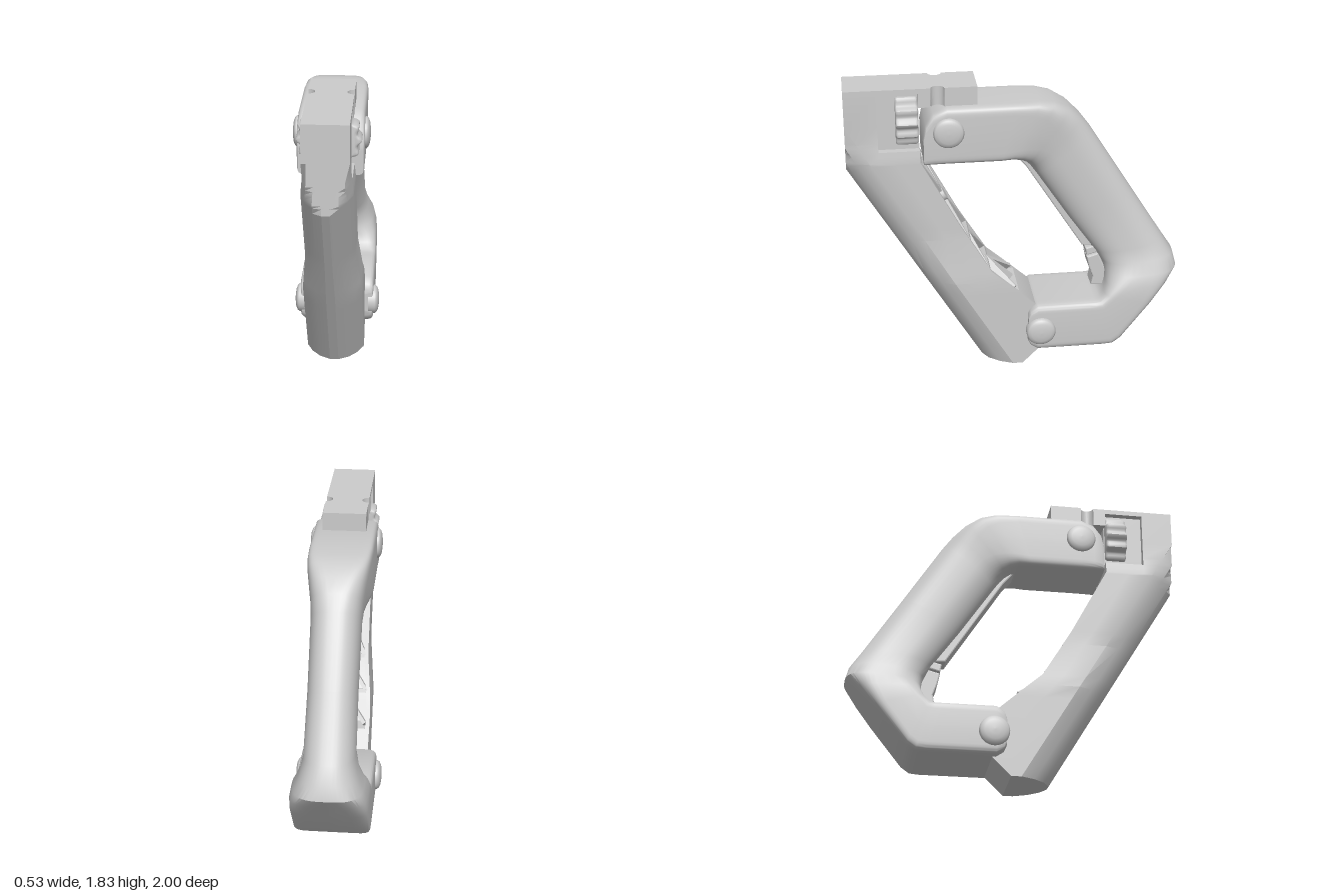
import * as THREE from 'three';
import { toCreasedNormals } from 'three/addons/utils/BufferGeometryUtils.js';

const grey = new THREE.MeshStandardMaterial({ color: 0xcccccc });

function add(parent, name, geometry) {
  const mesh = new THREE.Mesh(geometry, grey);
  mesh.name = name;
  parent.add(mesh);
  return mesh;
}

// Closed skin over rings of [x, y, z], with fan caps at both ends
function loft(rings, crease) {
  const n = rings[0].length, pos = rings.flat(2), idx = [];
  for (let r = 0; r < rings.length - 1; r++) {
    for (let i = 0; i < n; i++) {
      const a = r * n + i, b = r * n + (i + 1) % n;
      idx.push(a, b, b + n, a, b + n, a + n);
    }
  }
  [0, rings.length - 1].forEach((r, end) => {
    const c = pos.length / 3;
    for (let k = 0; k < 3; k++) pos.push(rings[r].reduce((s, p) => s + p[k], 0) / n);
    for (let i = 0; i < n; i++) {
      const a = r * n + i, b = r * n + (i + 1) % n;
      if (end) idx.push(c, a, b); else idx.push(c, b, a);
    }
  });
  // turn the faces outwards if the signed volume is negative
  const v = i => new THREE.Vector3().fromArray(pos, i * 3);
  let volume = 0;
  for (let i = 0; i < idx.length; i += 3) volume += v(idx[i]).dot(v(idx[i + 1]).cross(v(idx[i + 2])));
  if (volume < 0) idx.reverse();
  const g = new THREE.BufferGeometry();
  g.setAttribute('position', new THREE.Float32BufferAttribute(pos, 3));
  g.setIndex(idx);
  return toCreasedNormals(g, crease);
}

// Side outline of [z, y] points extruded across x
function sidePlate(points, half, bevel = 0.008) {
  const shape = new THREE.Shape(points.map(p => new THREE.Vector2(...p)));
  const g = new THREE.ExtrudeGeometry(shape, {
    depth: 2 * half, bevelEnabled: true, bevelSize: bevel, bevelThickness: bevel, bevelOffset: -bevel, bevelSegments: 2,
  });
  return g.translate(0, 0, -half).rotateY(-Math.PI / 2);
}

// Linear lookup in [key, value] pairs
function lookup(table, k) {
  for (let i = 1; i < table.length; i++) {
    const [a, va] = table[i - 1], [b, vb] = table[i];
    if (k <= b) return va + (vb - va) * (k - a) / (b - a);
  }
  return table[table.length - 1][1];
}

const beamBack = y => lookup([[0, -0.03], [0.11, -0.14], [0.36, -0.14], [0.4, -0.12], [0.65, 0.16], [0.95, 0.34], [1.38, 0.57], [2, 0.57]], y);
const beamHalf = y => lookup([[0, 0.176], [0.58, 0.176], [0.87, 0.146], [1.38, 0.144], [1.5, 0.13], [2, 0.13]], y);

// Horizontal slice: prow cut off at z = 1, side pocket for the wheel, hollow back
function beamSlice(y, pocket, hollow) {
  const w = beamHalf(y), front = 0.21 + y * 0.603, back = beamBack(y);
  const prow = [[0.15, 0], [0.5, 0.035], [0.8, 0.1], [1, 0.18]].map(([k, d]) => [k * w, Math.min(front - d, 1)]);
  const mid = y >= 1.38 ? 0.81 : (prow[3][1] + back) / 2;
  const inset = pocket ? 0.09 : w;
  const wall = pocket ? 0.07 : w - 0.025;
  const half = [...prow, [w, mid], [inset, mid], [inset, back], [wall, back], [wall, back + (hollow ? 0.1 : 0)]];
  const other = half.map(([x, z]) => [-x, z]).reverse();
  return [...half, ...other].map(([x, z]) => [x, y, z]);
}

function buildBeam(group) {
  const plan = [
    [0], [0.11], [0.36], [0.4], [0.5], [0.5, 0, 1], [0.58, 0, 1], [0.65, 0, 1], [0.87, 0, 1], [0.95, 0, 1],
    [1.31, 0, 1], [1.35, 0, 1], [1.35], [1.368], [1.38], [1.42], [1.45], [1.45, 1], [1.476, 1], [1.5, 1],
    [1.609, 1], [1.8, 1], [1.8], [1.83],
  ];
  add(group, 'beam', loft(plan.map(s => beamSlice(...s)), 0.45));

  // lattice in the hollow back, as pairs of [x fraction, y]
  const ribs = new THREE.Group();
  ribs.name = 'latticeRibs';
  group.add(ribs);
  const at = ([k, y]) => new THREE.Vector3(k * (beamHalf(y) - 0.025), y, beamBack(y) + 0.05);
  const bars = [[[-1, 0.65], [1, 0.65]], [[-1, 0.84], [1, 0.84]], [[0, 0.5], [0, 0.65]]];
  for (const s of [-1, 1]) {
    bars.push([[0, 1.09], [s, 1.34]], [[0, 1.09], [s, 0.84]], [[0, 0.84], [s, 0.65]], [[0, 0.65], [s, 0.5]]);
  }
  bars.push([[0, 1.09], [0, 1.34]]);
  for (const [a, b] of bars) {
    const p = at(a), q = at(b);
    const rib = add(ribs, 'rib', new THREE.BoxGeometry(0.022, 0.09, p.distanceTo(q)));
    rib.position.copy(p).lerp(q, 0.5);
    rib.up.set(0, 0.45, -0.9);
    rib.lookAt(q);
  }
  const hub = add(ribs, 'hub', new THREE.CylinderGeometry(0.04, 0.04, 0.1, 20));
  hub.position.copy(at([0, 1.09]));
  hub.rotation.x = -1.08;

  // top rail with a half-round notch in each side
  const s = new THREE.Shape();
  s.moveTo(-0.13, -0.575);
  s.lineTo(0.13, -0.575);
  s.absarc(0.13, -0.46, 0.04, -Math.PI / 2, Math.PI / 2, true);
  s.lineTo(0.13, -0.23);
  s.lineTo(-0.13, -0.23);
  s.absarc(-0.13, -0.46, 0.04, Math.PI / 2, -Math.PI / 2, true);
  const rail = new THREE.ExtrudeGeometry(s, { depth: 0.115, bevelEnabled: false, curveSegments: 16 });
  add(group, 'topRail', rail.rotateX(-Math.PI / 2).translate(0, 1.715, 0));

  // scalloped adjusting wheel
  const rim = [];
  for (let i = 0; i < 96; i++) {
    const a = i / 96 * Math.PI * 2, r = 0.171 + 0.011 * Math.cos(14 * a);
    rim.push(new THREE.Vector2(r * Math.cos(a), r * Math.sin(a)));
  }
  const wheel = new THREE.ExtrudeGeometry(new THREE.Shape(rim), {
    depth: 0.1, bevelEnabled: true, bevelSize: 0.015, bevelThickness: 0.015, bevelOffset: -0.015, bevelSegments: 3,
  });
  add(group, 'adjustingWheel', toCreasedNormals(wheel, 0.7).translate(0, 1.63, 0.59));
}

function buildHandle(group) {
  // outer [z, y], inner [z, y], half width, squareness of the section
  const sections = [
    [0.55, 1.55, 0.55, 1.37, 0.185, 10], [0.535, 1.62, 0.535, 1.37, 0.19, 10], [0.49, 1.685, 0.49, 1.37, 0.19, 10],
    [0.41, 1.72, 0.41, 1.37, 0.19, 10], [0, 1.72, 0.1, 1.37, 0.19, 10], [-0.13, 1.72, 0.03, 1.37, 0.186, 8],
    [-0.22, 1.705, -0.02, 1.355, 0.178, 6], [-0.31, 1.66, -0.06, 1.325, 0.165, 4], [-0.385, 1.59, -0.085, 1.29, 0.153, 3],
    [-0.45, 1.505, -0.115, 1.24, 0.147, 2.6], [-0.69, 1.125, -0.32, 0.93, 0.145, 2.5],
    [-0.915, 0.77, -0.485, 0.7, 0.15, 2.5], [-0.98, 0.67, -0.535, 0.63, 0.17, 2.6], [-1, 0.59, -0.55, 0.56, 0.205, 3],
    [-0.93, 0.505, -0.55, 0.51, 0.225, 4.5], [-0.83, 0.385, -0.535, 0.46, 0.23, 7], [-0.64, 0.15, -0.505, 0.425, 0.23, 9],
    [-0.59, 0.115, -0.47, 0.42, 0.23, 10], [-0.53, 0.11, -0.43, 0.42, 0.23, 10], [-0.12, 0.11, -0.12, 0.42, 0.23, 10],
    [-0.075, 0.14, -0.075, 0.385, 0.228, 10], [-0.06, 0.17, -0.06, 0.35, 0.222, 10],
  ];
  const power = (v, n) => Math.sign(v) * Math.abs(v) ** (2 / n);
  const rings = sections.map(([oz, oy, iz, iy, w, n]) => Array.from({ length: 48 }, (_, i) => {
    const a = i / 48 * Math.PI * 2, k = (1 + power(Math.cos(a), n)) / 2;
    return [w * power(Math.sin(a), n), iy + (oy - iy) * k, iz + (oz - iz) * k];
  }));
  add(group, 'handle', loft(rings, 0.75));

  // long trigger bar on the inside of the grip, with its latch
  add(group, 'triggerBar', sidePlate([[0.1, 1.385], [0.01, 1.37], [-0.06, 1.29], [-0.41, 0.74], [-0.5, 0.735], [-0.53, 0.8], [-0.2, 1.3], [0, 1.44]], 0.055));
  add(group, 'latchBlock', sidePlate([[-0.43, 0.72], [-0.51, 0.74], [-0.515, 0.69], [-0.44, 0.67]], 0.06));
  add(group, 'latchLever', sidePlate([[-0.44, 0.66], [-0.51, 0.68], [-0.56, 0.57], [-0.55, 0.46], [-0.47, 0.465], [-0.48, 0.52], [-0.455, 0.59]], 0.06));
}

// Domed pin heads on both sides
function buildPins(group, name, x, y, z, height) {
  const profile = [[0.09, -0.03], [0.09, height * 0.3], [0.08, height * 0.62], [0.06, height * 0.85], [0.03, height * 0.97], [0, height]];
  for (const side of [1, -1]) {
    const pin = add(group, name, new THREE.LatheGeometry(profile.map(p => new THREE.Vector2(...p)), 32));
    pin.rotation.z = -side * Math.PI / 2;
    pin.position.set(side * x, y, z);
  }
}

export function createModel() {
  const group = new THREE.Group();
  group.name = 'handleAssembly';
  buildBeam(group);
  buildHandle(group);
  buildPins(group, 'upperPin', 0.187, 1.575, 0.405, 0.033);
  buildPins(group, 'lowerPin', 0.227, 0.25, -0.135, 0.038);
  return group;
}
